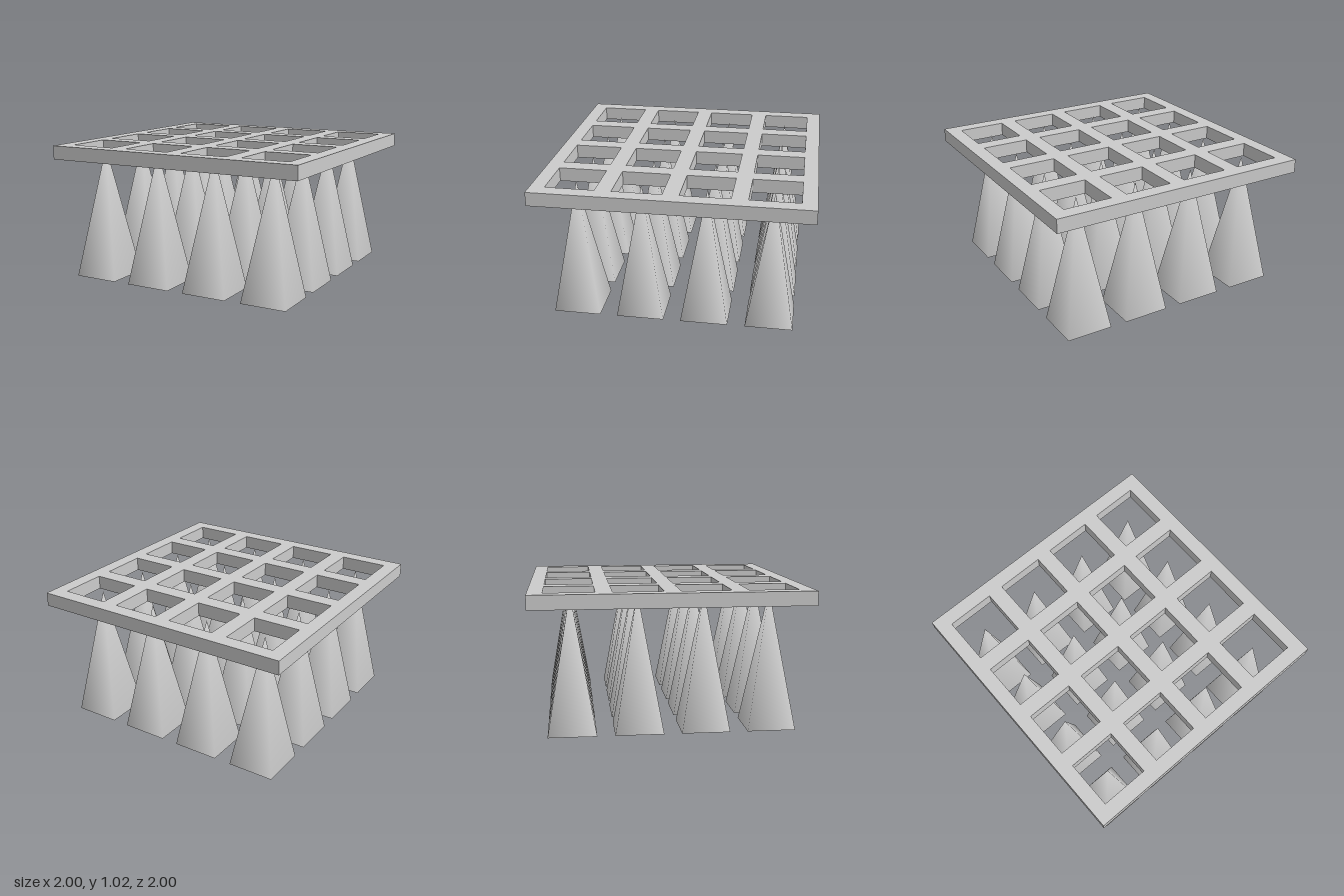
import * as THREE from 'three';
import { mergeVertices } from 'three/addons/utils/BufferGeometryUtils.js';

const PITCH = 0.476;
const centres = [-1.5, -0.5, 0.5, 1.5].map((i) => i * PITCH);

function squarePath(path, x, y, half) {
  path.moveTo(x - half, y - half);
  path.lineTo(x + half, y - half);
  path.lineTo(x + half, y + half);
  path.lineTo(x - half, y + half);
  path.closePath();
  return path;
}

// Square slab pierced by a grid of square holes
function gridGeometry(thickness) {
  const shape = squarePath(new THREE.Shape(), 0, 0, 1);
  for (const x of centres) {
    for (const y of centres) shape.holes.push(squarePath(new THREE.Path(), x, y, 0.1785));
  }
  const geometry = new THREE.ExtrudeGeometry(shape, { depth: thickness, bevelEnabled: false });
  return geometry.rotateX(-Math.PI / 2);
}

// Open-bottomed four-sided spike with smooth normals shared across its edges
function spikeGeometry(half, height) {
  const cone = new THREE.ConeGeometry(half * Math.SQRT2, height, 4, 1, true);
  cone.rotateY(Math.PI / 4).translate(0, height / 2, 0);
  cone.deleteAttribute('normal');
  cone.deleteAttribute('uv');
  const geometry = mergeVertices(cone, 1e-4);
  geometry.computeVertexNormals();
  return geometry;
}

export function createModel() {
  const model = new THREE.Group();
  model.name = 'spikeGrid';
  const solid = new THREE.MeshStandardMaterial({ color: 0xcccccc });
  const shell = new THREE.MeshStandardMaterial({ color: 0xcccccc, side: THREE.DoubleSide });

  // Top grid
  const grid = new THREE.Mesh(gridGeometry(0.103), solid);
  grid.name = 'topGrid';
  grid.position.y = 0.92;
  model.add(grid);

  // Spikes, set slightly off the hole centres, their tips inside the holes
  const spikes = new THREE.Group();
  spikes.name = 'spikes';
  spikes.position.set(-0.011, 0, 0.006);
  const geometry = spikeGeometry(0.174, 1.0);
  for (const x of centres) {
    for (const z of centres) {
      const spike = new THREE.Mesh(geometry, shell);
      spike.name = 'spike';
      spike.position.set(x, 0, z);
      spikes.add(spike);
    }
  }
  model.add(spikes);
  return model;
}
